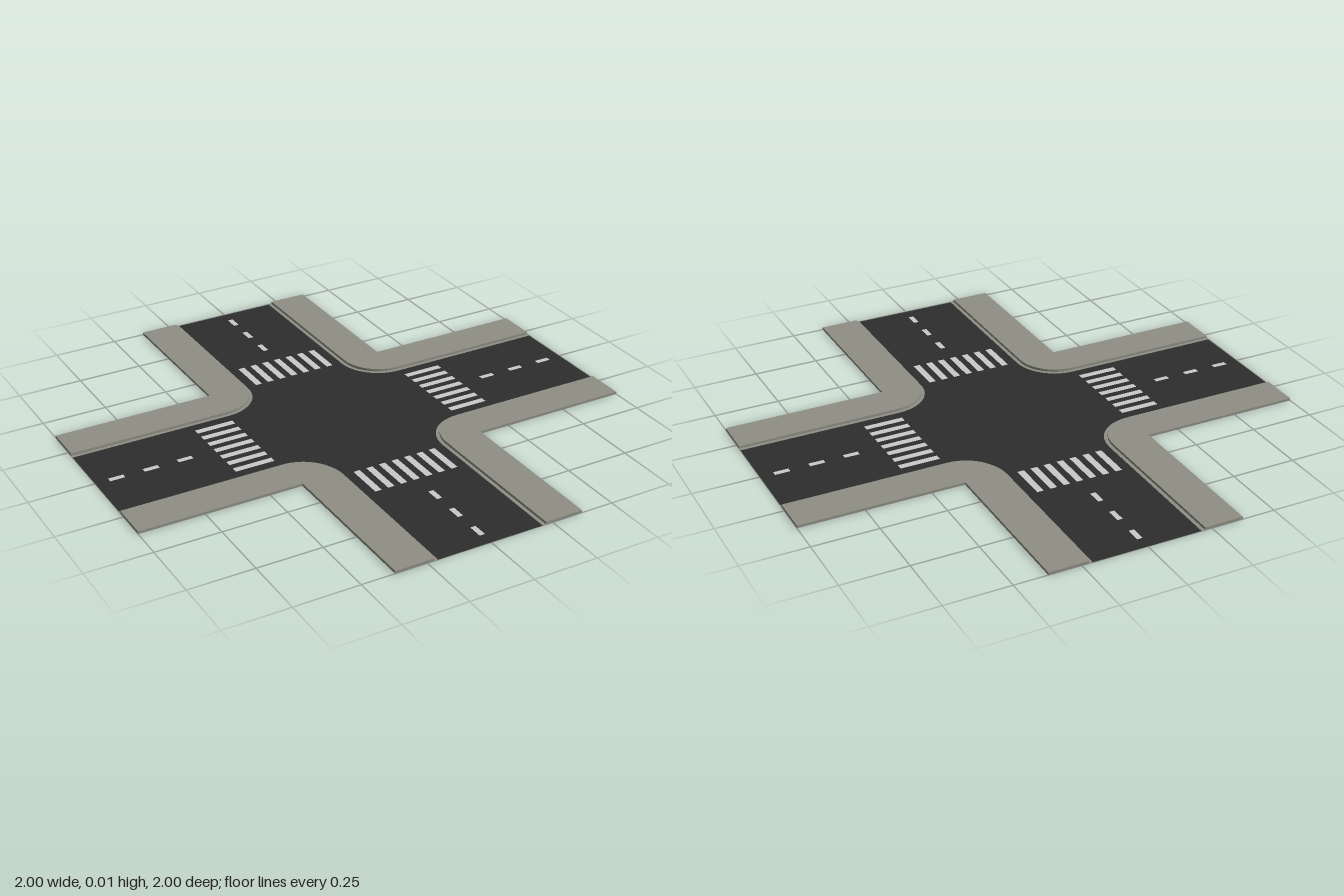
import * as THREE from 'three';
import { mergeGeometries } from 'three/addons/utils/BufferGeometryUtils.js';

const C = 0.373;       // outer corner of the pavement, also the centre of the kerb curve
const ROAD_D = 0.164;  // distance from pavement outside to road edge
const KERB_D = 0.15;   // distance from pavement outside to kerb face
const HEIGHT = 0.01;

const mat = (name, color, side = THREE.DoubleSide) => {
  const m = new THREE.MeshStandardMaterial({ color, side });
  m.name = name;
  return m;
};

// Edge line running round one corner at distance d inside the pavement's outer edge
function cornerLine(d) {
  const pts = [new THREE.Vector2(1, C - d)];
  const steps = d > 0 ? 12 : 0;
  for (let i = 0; i <= steps; i++) {
    const a = -Math.PI / 2 - (steps ? i / steps : 0) * Math.PI / 2;
    pts.push(new THREE.Vector2(C + d * Math.cos(a), C + d * Math.sin(a)));
  }
  pts.push(new THREE.Vector2(C - d, 1));
  return pts;
}

const turn = (pts, q) =>
  pts.map((p) => p.clone().rotateAround(new THREE.Vector2(), q * Math.PI / 2));

const rect = (x, y, w, h) => [
  [x - w / 2, y - h / 2], [x + w / 2, y - h / 2],
  [x + w / 2, y + h / 2], [x - w / 2, y + h / 2],
].map(([a, b]) => new THREE.Vector2(a, b));

const sheet = (pts) => new THREE.ShapeGeometry(new THREE.Shape(pts)).rotateX(-Math.PI / 2);

export function createModel() {
  const model = new THREE.Group();
  model.name = 'crossroads';
  const asphalt = mat('asphalt', 0x2d2d2d);
  const concrete = mat('concrete', 0x8f8f84);
  const paint = mat('roadPaint', 0xcacaca);

  const add = (name, geometry, material) => {
    const mesh = new THREE.Mesh(geometry, material);
    mesh.name = name;
    model.add(mesh);
  };

  // Painted markings of one arm
  const stripes = [], dashes = [];
  for (let i = -3; i <= 3; i++) stripes.push(rect(i * 0.0525, 0.455, 0.026, 0.154));
  for (const y of [0.652, 0.785, 0.918]) dashes.push(rect(0, y, 0.021, 0.058));

  const outline = [], holes = [];
  for (let q = 0; q < 4; q++) {
    outline.push(...turn(cornerLine(ROAD_D), q));
    const s = stripes.map((p) => turn(p, q));
    const d = dashes.map((p) => turn(p, q));
    holes.push(...s, ...d);
    add('crosswalk', mergeGeometries(s.map(sheet)), paint);
    add('centreLine', mergeGeometries(d.map(sheet)), paint);

    // Raised pavement at each corner
    const walk = new THREE.Shape(turn([...cornerLine(KERB_D), ...cornerLine(0).reverse()], q));
    add('pavement', new THREE.ExtrudeGeometry(walk, { depth: HEIGHT, bevelEnabled: false })
      .rotateX(-Math.PI / 2), concrete);

    // Flat gutter strip between kerb and road
    add('gutter', sheet(turn([...cornerLine(ROAD_D), ...cornerLine(KERB_D).reverse()], q)), concrete);
  }

  // Road surface, cut out where the markings are inlaid
  const road = new THREE.Shape(outline);
  road.holes = holes.map((p) => new THREE.Path(p));
  add('road', new THREE.ShapeGeometry(road).rotateX(-Math.PI / 2), asphalt);

  return model;
}
